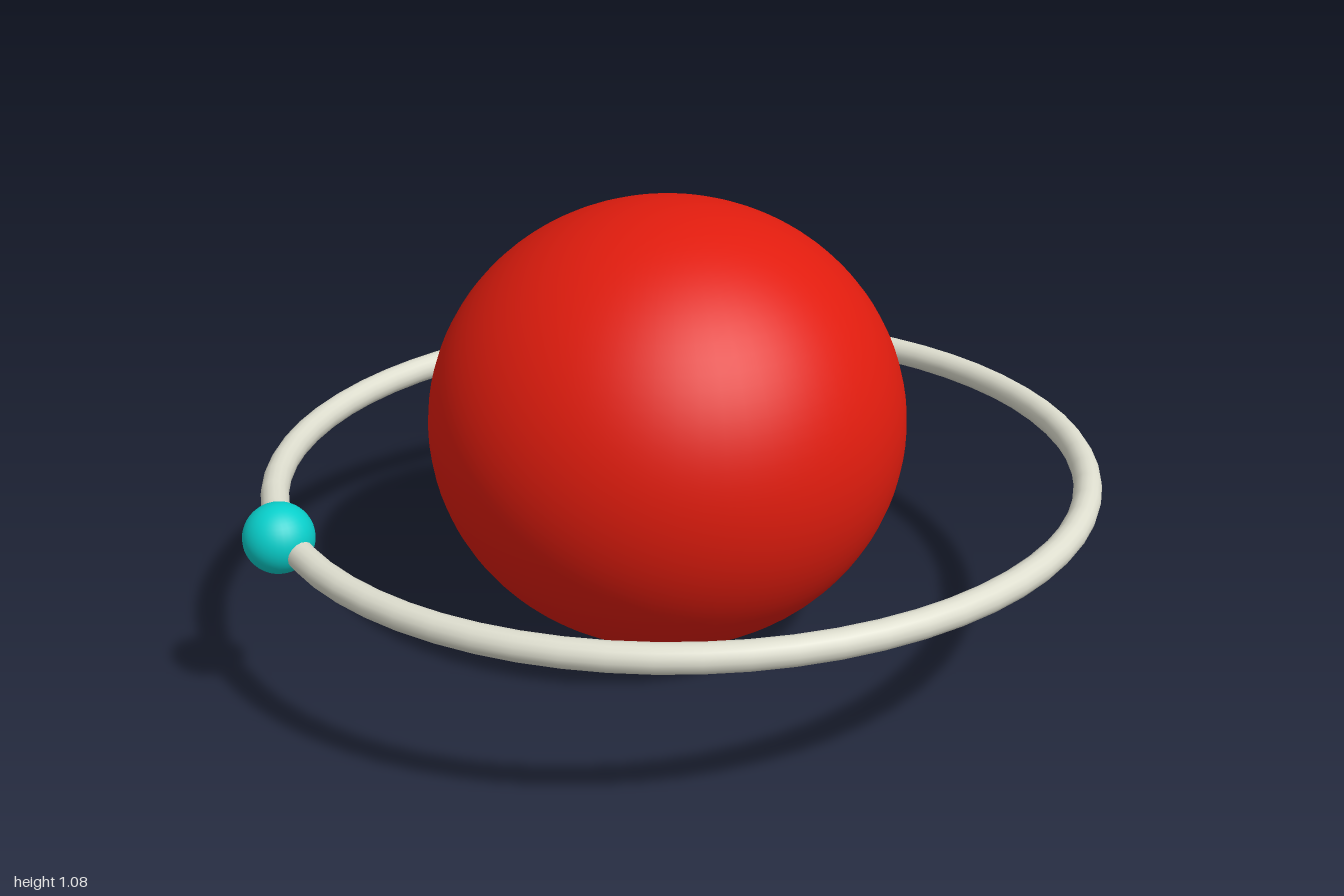
import * as THREE from 'three';

const mat = (color) => new THREE.MeshStandardMaterial({ color });

export function createModel() {
  const group = new THREE.Group();
  const add = (name, geometry, color, x, y, z) => {
    const mesh = new THREE.Mesh(geometry, mat(color));
    mesh.name = name;
    mesh.position.set(x, y, z);
    group.add(mesh);
    return mesh;
  };

  // Large planet, slightly flattened at the poles
  const planet = add('planet', new THREE.SphereGeometry(0.575, 64, 48), 0xe01c0e, -0.035, 0.545, -0.05);
  planet.scale.y = 0.94;

  // Thin orbit ring, lying flat with a very slight tilt
  const ringGeometry = new THREE.TorusGeometry(0.966, 0.033, 16, 64).rotateX(Math.PI / 2);
  const ring = add('orbitRing', ringGeometry, 0xdedecf, 0, 0.447, 0);
  ring.rotation.set(-0.006, 0, 0.012);

  // Small moon threaded on the ring
  add('moon', new THREE.SphereGeometry(0.081, 32, 24), 0x08cfcb, -0.872, 0.46, 0.473);

  return group;
}
